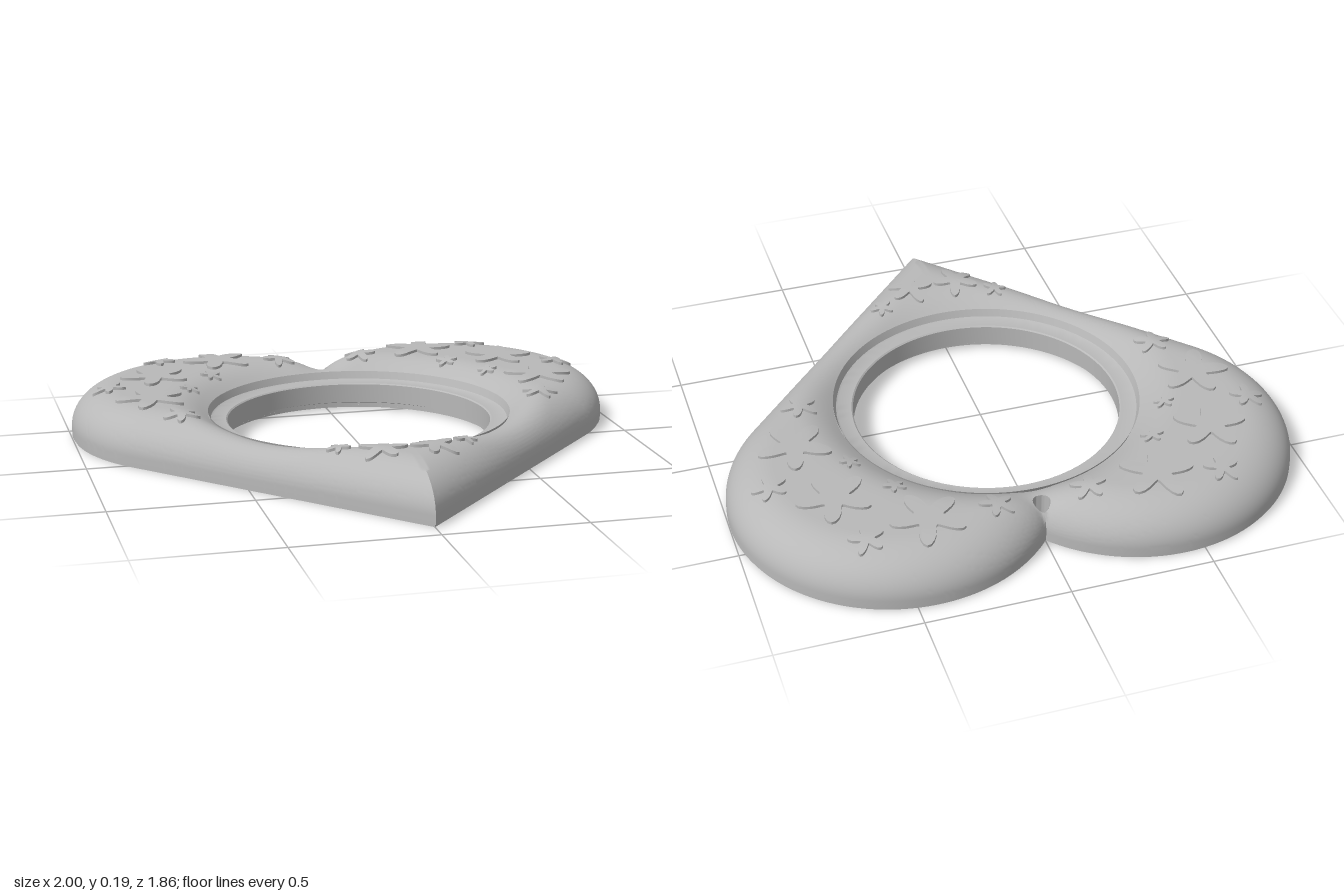
import * as THREE from 'three';
import { toCreasedNormals } from 'three/addons/utils/BufferGeometryUtils.js';

// Heart: two lobe circles joined to the tip by tangent lines; ring opening centred at OZ
const CX = 0.43, CZ = -0.365, LOBE = 0.57, TIP = 0.93;
const OZ = -0.07, RING = 0.545, OPENING = 0.475;
const HOLE_Z = -0.685, HOLE_R = 0.03;
const beta = Math.atan2(CX, TIP - CZ) + Math.asin(LOBE / Math.hypot(CX, TIP - CZ));
const nx = Math.cos(beta), nz = Math.sin(beta), lineK = TIP * nz;
const cleftZ = CZ - Math.sqrt(LOBE * LOBE - CX * CX);
const cleftAngle = Math.atan2(cleftZ - CZ, -CX);

// Distance from the ring centre to the heart outline (optionally inset)
function outlineRadius(a, inset = 0) {
  const dx = Math.abs(Math.cos(a)), dz = Math.sin(a), r = LOBE - inset;
  const tangent = Math.atan2(CZ + r * nz - OZ, CX + r * nx);
  if (Math.atan2(dz, dx) > tangent) return (lineK - inset - OZ * nz) / (dx * nx + dz * nz);
  const ox = -CX, oz = OZ - CZ, b = dx * ox + dz * oz;
  return -b + Math.sqrt(Math.max(0, b * b - (ox * ox + oz * oz - r * r)));
}

// Height of the domed top: rounded at the outline, dipping toward the ring
function height(x, z) {
  x = Math.abs(x);
  const vx = x - CX, vz = z - CZ, a = Math.atan2(vz, vx);
  const arc = a >= cleftAngle && a <= beta ? LOBE - Math.hypot(vx, vz) : Math.hypot(x, z - cleftZ);
  const d = Math.max(0, Math.min(arc, lineK - nx * x - nz * z));
  const e = Math.max(0, 1 - d / 0.17);
  const s = Math.max(0, 1 - Math.max(0, Math.hypot(x, z - OZ) - RING) / 0.14);
  return 0.04 + 0.14 * Math.sqrt(1 - e * e) - 0.05 * s * s;
}

// Closed loops of points skinned together; cells with every corner flagged are left out
function skin(rows, cols, point, crease = 0.7) {
  const pos = [], index = [], cut = [];
  for (let i = 0; i < rows; i++) for (let j = 0; j < cols; j++) {
    const p = point(i, (j / cols) * Math.PI * 2);
    pos.push(p[0], p[1], p[2]);
    cut.push(!!p[3]);
  }
  const tri = (a, b, c) => { if (!(cut[a] && cut[b] && cut[c])) index.push(a, b, c); };
  for (let i = 0; i < rows - 1; i++) for (let j = 0; j < cols; j++) {
    const k = (j + 1) % cols, a = i * cols + j, c = i * cols + k;
    tri(a, c, a + cols);
    tri(a + cols, c, c + cols);
  }
  const g = new THREE.BufferGeometry();
  g.setAttribute('position', new THREE.Float32BufferAttribute(pos, 3));
  g.setIndex(index);
  return toCreasedNormals(g, crease);
}

// Domed heart face, side wall and small underside return
function bodyGeometry() {
  const N = 30;
  return skin(N + 3, 600, (i, a) => {
    const u = Math.min(1, i / N), t = 1 - (1 - u) * (1 - u);
    const R = outlineRadius(a, i === N + 2 ? 0.006 : 0);
    const r = RING + (R - RING) * t;
    let x = Math.cos(a) * r, z = OZ + Math.sin(a) * r;
    if (i > N) return [x, 0.01, z];
    const q = Math.hypot(x, z - HOLE_Z), inside = q < HOLE_R;
    if (inside) {
      const k = HOLE_R / Math.max(q, 1e-6);
      x *= k;
      z = HOLE_Z + (z - HOLE_Z) * k;
    }
    return [x, height(x, z), z, inside];
  });
}

// Five-petal flower slab that follows the dome and shows on the back as well
function flowerGeometry(cx, cz, R, phase) {
  const N = 5;
  return skin(N + 2, 60, (i, a) => {
    const r = R * (0.69 + 0.31 * Math.cos(5 * a)) * Math.min(1, i / N);
    const x = cx + r * Math.cos(a + phase), z = cz + r * Math.sin(a + phase);
    return [x, height(x, z) + (i > N ? -0.01 : 0.01), z];
  });
}

function flatFlower(R) {
  const pts = [];
  for (let j = 0; j < 60; j++) {
    const a = (j / 60) * Math.PI * 2, r = R * (0.69 + 0.31 * Math.cos(5 * a));
    pts.push(new THREE.Vector2(r * Math.cos(a), r * Math.sin(a)));
  }
  return new THREE.ExtrudeGeometry(new THREE.Shape(pts), { depth: 0.005, bevelEnabled: false });
}

function heartPoints(inset) {
  const pts = [];
  for (let j = 0; j < 240; j++) {
    const a = (j / 240) * Math.PI * 2, r = outlineRadius(a, inset);
    pts.push(new THREE.Vector2(r * Math.cos(a), OZ + r * Math.sin(a)));
  }
  return pts;
}

function circlePath(z, r) {
  return new THREE.Path().absarc(0, z, r, 0, Math.PI * 2, true);
}

export function createModel() {
  const model = new THREE.Group();
  const grey = new THREE.MeshStandardMaterial({ color: 0xb8b8b8, side: THREE.DoubleSide });
  const add = (name, geometry, parent = model) => {
    const m = new THREE.Mesh(geometry, grey);
    m.name = name;
    parent.add(m);
    return m;
  };
  // Lays an extruded x/z shape flat with its lower face at y
  const slab = (name, shape, y, depth) => {
    const g = new THREE.ExtrudeGeometry(shape, { depth, bevelEnabled: false, curveSegments: 48 });
    const m = add(name, g.rotateX(Math.PI / 2));
    m.position.y = y + depth;
    return m;
  };

  add('heartBody', bodyGeometry());

  // Stepped ring lining the opening
  const profile = [[0.545, 0.135], [0.535, 0.108], [0.528, 0.104], [0.48, 0.104], [0.475, 0.1],
    [0.475, 0.03], [0.5, 0.022], [0.5, 0.004]].map(([x, y]) => new THREE.Vector2(x, y));
  const ring = add('openingRing', toCreasedNormals(new THREE.LatheGeometry(profile, 128), 0.6));
  ring.position.z = OZ;

  // Hanging hole wall
  add('hangingHole', skin(2, 48, (i, a) => {
    const x = HOLE_R * Math.cos(a), z = HOLE_Z + HOLE_R * Math.sin(a);
    return [x, i ? height(x, z) : 0.004, z];
  }));

  // Back plate with a slim raised edge
  const plate = new THREE.Shape(heartPoints(0.006));
  plate.holes.push(circlePath(OZ, 0.5), circlePath(HOLE_Z, HOLE_R));
  slab('backPlate', plate, 0.004, 0.008);
  const edge = new THREE.Shape(heartPoints(0.006));
  edge.holes.push(new THREE.Path(heartPoints(0.024).reverse()));
  slab('backEdge', edge, 0, 0.005);

  // Flowers: x, z, radius, turn; mirrored to both sides, front and back
  const flowers = [
    [0.40, -0.71, 0.132, 0], [0.67, -0.52, 0.132, 0], [0.73, -0.21, 0.132, -0.1],
    [0.62, -0.75, 0.064, 0.3], [0.16, -0.70, 0.064, 0.1], [0.86, -0.40, 0.064, 0.2],
    [0.66, 0.01, 0.068, 0.1], [0.46, -0.51, 0.042, 0], [0.57, -0.34, 0.038, 0],
    [0.22, 0.525, 0.044, 0], [0.09, 0.605, 0.086, Math.PI],
  ];
  const front = new THREE.Group(), back = new THREE.Group();
  front.name = 'frontFlowers';
  back.name = 'backFlowers';
  model.add(front, back);
  for (const [x, z, r, turn] of flowers) for (const side of [1, -1]) {
    const phase = side > 0 ? turn : Math.PI - turn;
    add('flower', flowerGeometry(side * x, z, r, phase), front);
    const m = add('backFlower', flatFlower(r).rotateZ(phase).rotateX(Math.PI / 2), back);
    m.position.set(side * x, 0.005, z);
  }

  // Small studs scattered along the back edge
  const stud = new THREE.CylinderGeometry(0.011, 0.011, 0.004, 10);
  for (let j = 0; j < 44; j++) {
    const a = ((j + 0.5) / 44) * Math.PI * 2, r = outlineRadius(a, 0.05);
    if (r < RING + 0.05) continue;
    add('backStud', stud, back).position.set(r * Math.cos(a), 0.003, OZ + r * Math.sin(a));
  }
  return model;
}
